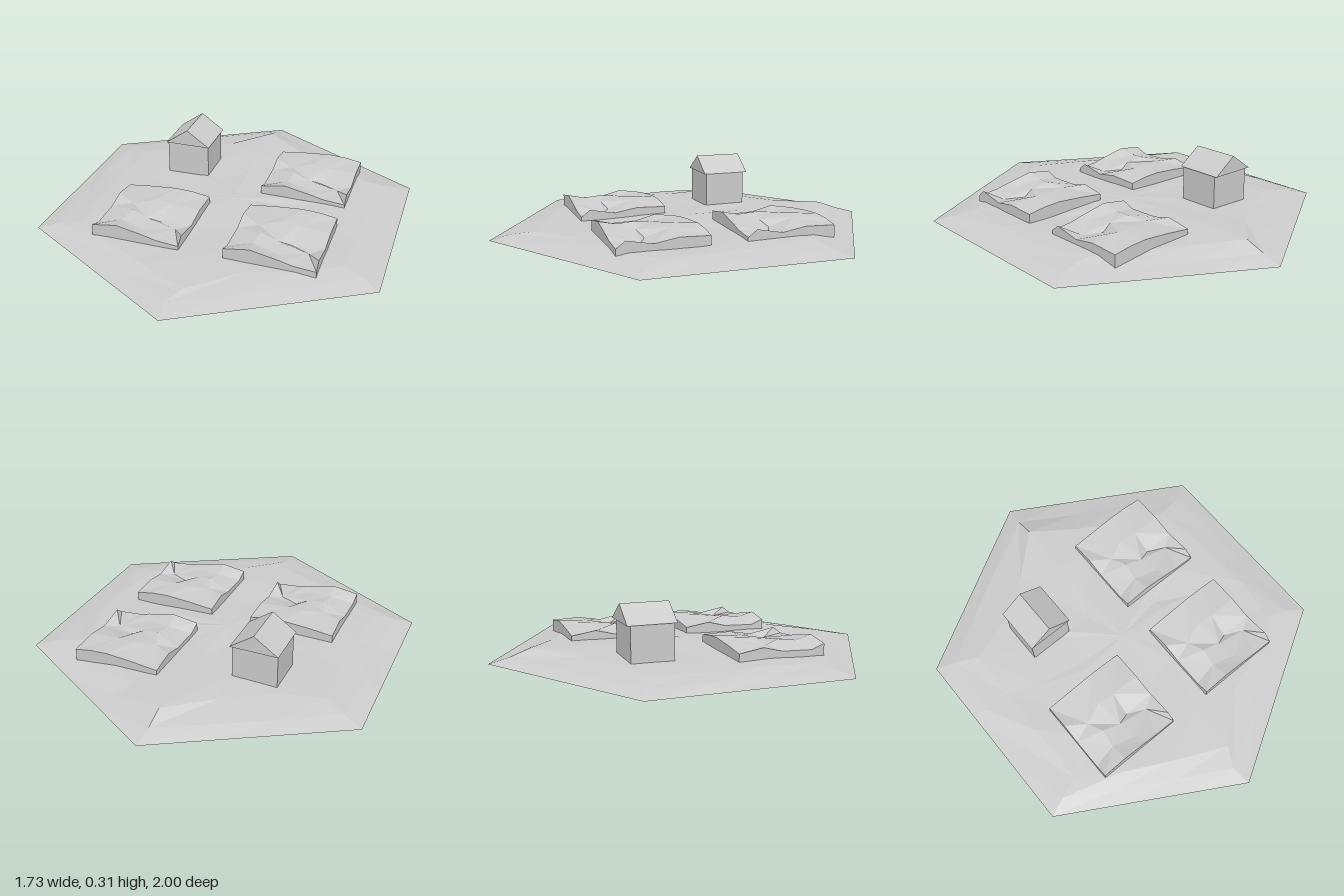
import * as THREE from 'three';

const mat = new THREE.MeshStandardMaterial({ color: 0xcccccc, flatShading: true, side: THREE.DoubleSide });

// Repeatable noise in -1..1
let seed = 11;
const rnd = () => {
  seed = (seed * 16807) % 2147483647;
  return (seed / 2147483647) * 2 - 1;
};

function mesh(geometry, name) {
  const m = new THREE.Mesh(geometry, mat);
  m.name = name;
  return m;
}

function indexed(positions, index) {
  const g = new THREE.BufferGeometry();
  g.setAttribute('position', new THREE.Float32BufferAttribute(positions, 3));
  g.setIndex(index);
  g.computeVertexNormals();
  return g;
}

// Open hexagonal sheet: concentric hexagons, uneven inside, straight at the rim
function groundGeometry() {
  const rings = [[1, 0], [0.9, 0.022], [0.77, 0.038], [0.55, 0.042], [0.3, 0.042]];
  const perSide = 3, n = perSide * 6;
  const positions = [], index = [];
  const corner = k => new THREE.Vector2(Math.sin(k * Math.PI / 3), Math.cos(k * Math.PI / 3));
  rings.forEach(([r, h], i) => {
    for (let j = 0; j < n; j++) {
      const k = Math.floor(j / perSide);
      const p = corner(k).lerp(corner(k + 1), (j % perSide) / perSide).multiplyScalar(r);
      let y = h;
      if (i > 0) {
        const wobble = i === 1 ? 0.015 : 0.04;
        p.x += rnd() * wobble;
        p.y += rnd() * wobble;
        // higher towards the back
        const back = Math.max(0, -p.y) * Math.max(0, 1 - Math.abs(p.x) * 1.2);
        y += rnd() * 0.005 + back * (i === 1 ? 0.005 : 0.035);
      }
      positions.push(p.x, y, p.y);
    }
  });
  for (let i = 0; i < rings.length - 1; i++) {
    for (let j = 0; j < n; j++) {
      const a = i * n + j, b = i * n + (j + 1) % n, c = a + n, d = b + n;
      index.push(a, b, d, a, d, c);
    }
  }
  const centre = positions.length / 3, last = (rings.length - 1) * n;
  positions.push(0, 0.055, 0);
  for (let j = 0; j < n; j++) index.push(last + j, last + (j + 1) % n, centre);
  return indexed(positions, index);
}

// Square block with a craggy top; each row lists (u, v, height) from back to front
function fieldGeometry() {
  const size = 0.45, base = 0.005;
  const rows = [
    [[0, 0, 0.08], [0.3, 0, 0.095], [0.6, 0, 0.105], [0.8, 0, 0.1], [1, 0, 0.085]],
    [[0, 0.28, 0.1], [0.22, 0.42, 0.09], [0.46, 0.32, 0.105], [0.66, 0.34, 0.1], [1, 0.34, 0.09]],
    [[0, 0.5, 0.075], [0.3, 0.6, 0.105], [0.5, 0.65, 0.085], [0.64, 0.6, 0.06], [1, 0.6, 0.07]],
    [[0, 0.85, 0.07], [0.27, 0.8, 0.095], [0.55, 0.87, 0.08], [0.85, 0.7, 0.06], [1, 0.9, 0.095]],
    [[0, 1, 0.095], [0.29, 1, 0.115], [0.62, 1, 0.085], [0.75, 1, 0.07], [1, 1, 0.06]],
  ];
  const n = rows.length, positions = [], index = [];
  for (const row of rows) for (const [u, v, h] of row) positions.push(u * size, h, v * size);
  for (let i = 0; i < n - 1; i++) {
    for (let j = 0; j < n - 1; j++) {
      const a = i * n + j, b = a + 1, c = a + n, d = c + 1;
      if ((i + j) % 2) index.push(a, c, b, b, c, d);
      else index.push(a, c, d, a, d, b);
    }
  }
  // walls down from the rim, then the flat underside
  const rim = [];
  for (let j = 0; j < n - 1; j++) rim.push(j);
  for (let i = 0; i < n - 1; i++) rim.push(i * n + n - 1);
  for (let j = n - 1; j > 0; j--) rim.push((n - 1) * n + j);
  for (let i = n - 1; i > 0; i--) rim.push(i * n);
  const start = n * n, m = rim.length;
  for (const r of rim) positions.push(positions[r * 3], base, positions[r * 3 + 2]);
  const middle = positions.length / 3;
  positions.push(size / 2, base, size / 2);
  rim.forEach((r, k) => {
    const next = (k + 1) % m;
    index.push(r, rim[next], start + next, r, start + next, start + k);
    index.push(start + k, start + next, middle);
  });
  return indexed(positions, index);
}

// Small hut with a gabled roof, ridge running front to back
function hut() {
  const g = new THREE.Group();
  g.name = 'hut';
  const walls = mesh(new THREE.BoxGeometry(0.23, 0.22, 0.215), 'hutWalls');
  walls.position.set(0, 0.12, 0.003);
  const gable = new THREE.Shape([
    new THREE.Vector2(-0.122, 0.226), new THREE.Vector2(0.122, 0.226), new THREE.Vector2(0, 0.312),
  ]);
  const roof = mesh(new THREE.ExtrudeGeometry(gable, { depth: 0.245, bevelEnabled: false }), 'hutRoof');
  roof.position.z = -0.1225;
  g.add(walls, roof);
  g.position.set(-0.316, 0, -0.312);
  return g;
}

export function createModel() {
  const model = new THREE.Group();
  model.name = 'fieldTile';
  model.add(mesh(groundGeometry(), 'ground'), hut());
  const field = fieldGeometry();
  for (const [x, z] of [[0.128, 0.073], [-0.545, 0.073], [0.128, -0.558]]) {
    const f = mesh(field, 'field');
    f.position.set(x, 0, z);
    model.add(f);
  }
  return model;
}
